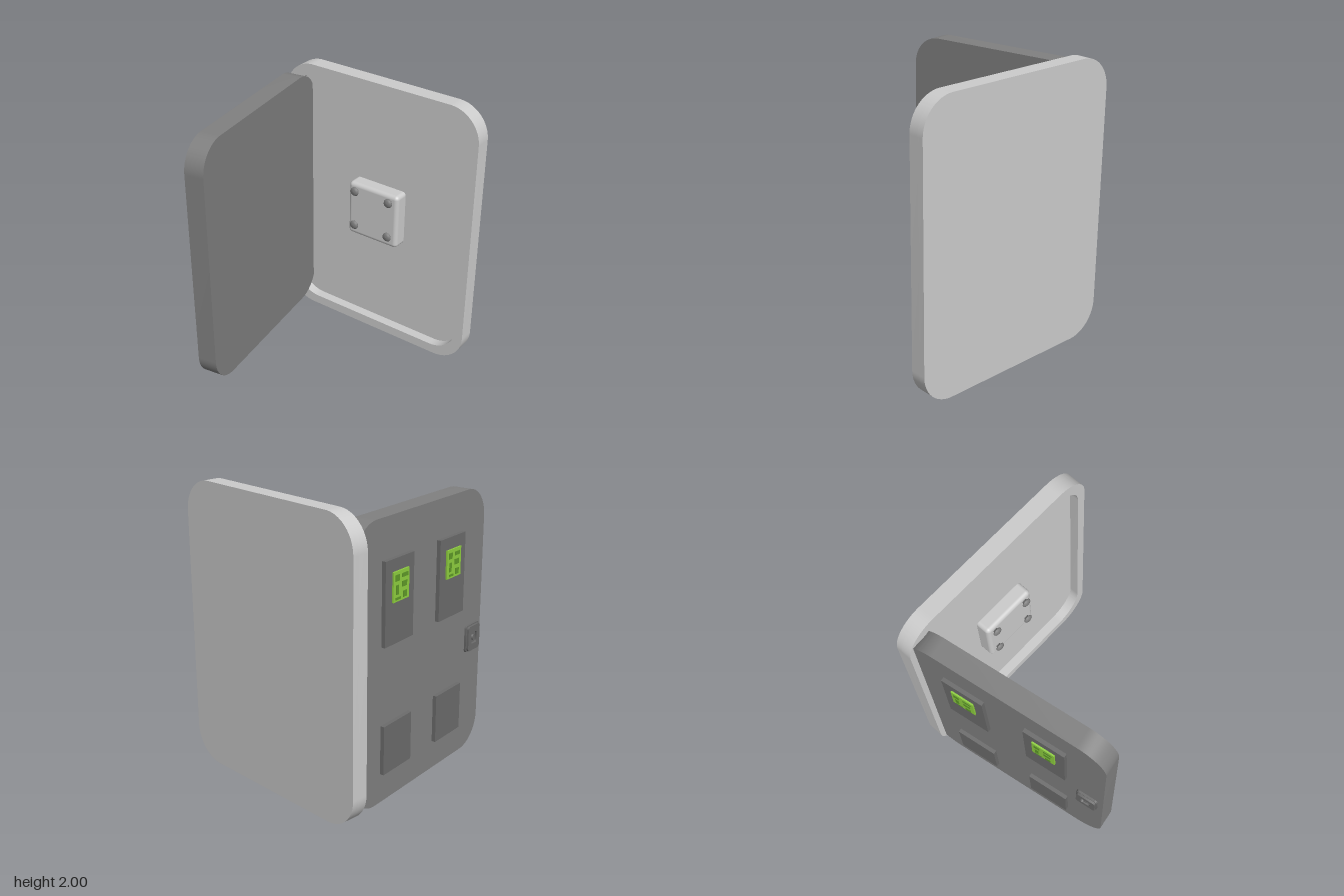
import * as THREE from 'three';
import { toCreasedNormals } from 'three/addons/utils/BufferGeometryUtils.js';
import { RoundedBoxGeometry } from 'three/addons/geometries/RoundedBoxGeometry.js';

const material = (color) => new THREE.MeshStandardMaterial({ color });
const grey = material(0xcccccc);
const darkGrey = material(0x808080);
const plateGrey = material(0x6c6c6c);
const green = material(0x8fd03f);
const darkGreen = material(0x5f9a28);

// Rounded rectangle centred on (0, 0)
function roundedRect(path, w, h, r) {
  const x = w / 2, y = h / 2;
  path.moveTo(x, -y + r);
  path.lineTo(x, y - r);
  path.absarc(x - r, y - r, r, 0, Math.PI / 2);
  path.lineTo(-x + r, y);
  path.absarc(-x + r, y - r, r, Math.PI / 2, Math.PI);
  path.lineTo(-x, -y + r);
  path.absarc(-x + r, -y + r, r, Math.PI, Math.PI * 1.5);
  path.lineTo(x - r, -y);
  path.absarc(x - r, -y + r, r, Math.PI * 1.5, Math.PI * 2);
  return path;
}

// Rounded slab from z0 to z1, with an optional opening [w, h, r]
function slab(w, h, r, z0, z1, hole) {
  const shape = roundedRect(new THREE.Shape(), w, h, r);
  if (hole) shape.holes.push(roundedRect(new THREE.Path(), ...hole));
  const geo = new THREE.ExtrudeGeometry(shape, { depth: z1 - z0, bevelEnabled: false, curveSegments: 16 });
  geo.translate(0, 0, z0);
  return toCreasedNormals(geo, 0.6);
}

function add(parent, name, geo, mat, x = 0, y = 0, z = 0) {
  const mesh = new THREE.Mesh(geo, mat);
  mesh.name = name;
  mesh.position.set(x, y, z);
  parent.add(mesh);
  return mesh;
}

// Shallow tray: back panel, raised rim, and a pad with four studs
function buildTray() {
  const tray = new THREE.Group();
  tray.name = 'tray';
  add(tray, 'backPanel', slab(1.57, 2, 0.23, -0.735, -0.69), grey, 0, 1);
  add(tray, 'rim', slab(1.57, 2, 0.23, -0.69, -0.62, [1.45, 1.86, 0.21]), grey, 0, 1);
  add(tray, 'mountingPad', new RoundedBoxGeometry(0.42, 0.42, 0.13, 4, 0.03), grey, 0, 1, -0.65);

  const profile = [[0.018, 0], [0.018, 0.012], [0.032, 0.016], [0.034, 0.022], [0.029, 0.031], [0.017, 0.036], [0, 0.038]];
  const studGeo = new THREE.LatheGeometry(profile.map(([r, h]) => new THREE.Vector2(r, h)), 20);
  studGeo.rotateX(Math.PI / 2);
  for (const x of [-0.143, 0.143]) {
    for (const y of [0.88, 1.155]) add(tray, 'stud', studGeo, darkGrey, x, y, -0.587);
  }
  return tray;
}

// Small circuit board with raised components
function buildBoard() {
  const board = new THREE.Group();
  board.name = 'circuitBoard';
  add(board, 'boardBase', new THREE.BoxGeometry(0.165, 0.19, 0.011), green, 0, 0, 0.0055);
  const chips = [[-0.045, 0.055, 0.04, 0.04], [0.035, 0.06, 0.06, 0.025], [-0.045, -0.02, 0.025, 0.06],
    [0.03, 0.005, 0.05, 0.035], [0.035, -0.06, 0.04, 0.04], [-0.035, -0.075, 0.05, 0.015]];
  for (const [x, y, w, h] of chips) {
    add(board, 'component', new THREE.BoxGeometry(w, h, 0.005), darkGreen, x, y, 0.012);
  }
  return board;
}

// Open door: local x runs to its free edge, local z points out of its outer face
function buildDoor() {
  const door = new THREE.Group();
  door.name = 'door';
  add(door, 'doorPanel', slab(1.44, 1.85, 0.21, -0.141, 0), darkGrey);

  // Two columns of plates, the tall upper ones carrying circuit boards
  for (const x of [-0.305, 0.292]) {
    add(door, 'upperPlate', new THREE.BoxGeometry(0.3, 0.54, 0.027), plateGrey, x, 0.395, 0.0135);
    add(door, 'lowerPlate', new THREE.BoxGeometry(0.3, 0.33, 0.027), plateGrey, x, -0.56, 0.0135);
    const board = buildBoard();
    board.position.set(x, 0.49, 0.027);
    door.add(board);
  }

  // Latch near the free edge: a rounded frame around a small knob
  const latch = new THREE.Group();
  latch.name = 'latch';
  latch.position.set(0.6, -0.11, 0);
  add(latch, 'latchBase', slab(0.16, 0.19, 0.02, 0, 0.015), plateGrey);
  add(latch, 'latchFrame', slab(0.145, 0.175, 0.02, 0.015, 0.03, [0.07, 0.08, 0.015]), plateGrey);
  const knob = add(latch, 'latchKnob', new THREE.CylinderGeometry(0.016, 0.02, 0.012, 16), plateGrey, 0, 0, 0.02);
  knob.rotation.x = Math.PI / 2;
  door.add(latch);

  door.position.set(-0.64, 1.005, 0.019);
  door.rotation.y = THREE.MathUtils.degToRad(-80.8);
  return door;
}

export function createModel() {
  const model = new THREE.Group();
  model.name = 'openCase';
  model.add(buildTray(), buildDoor());
  return model;
}
